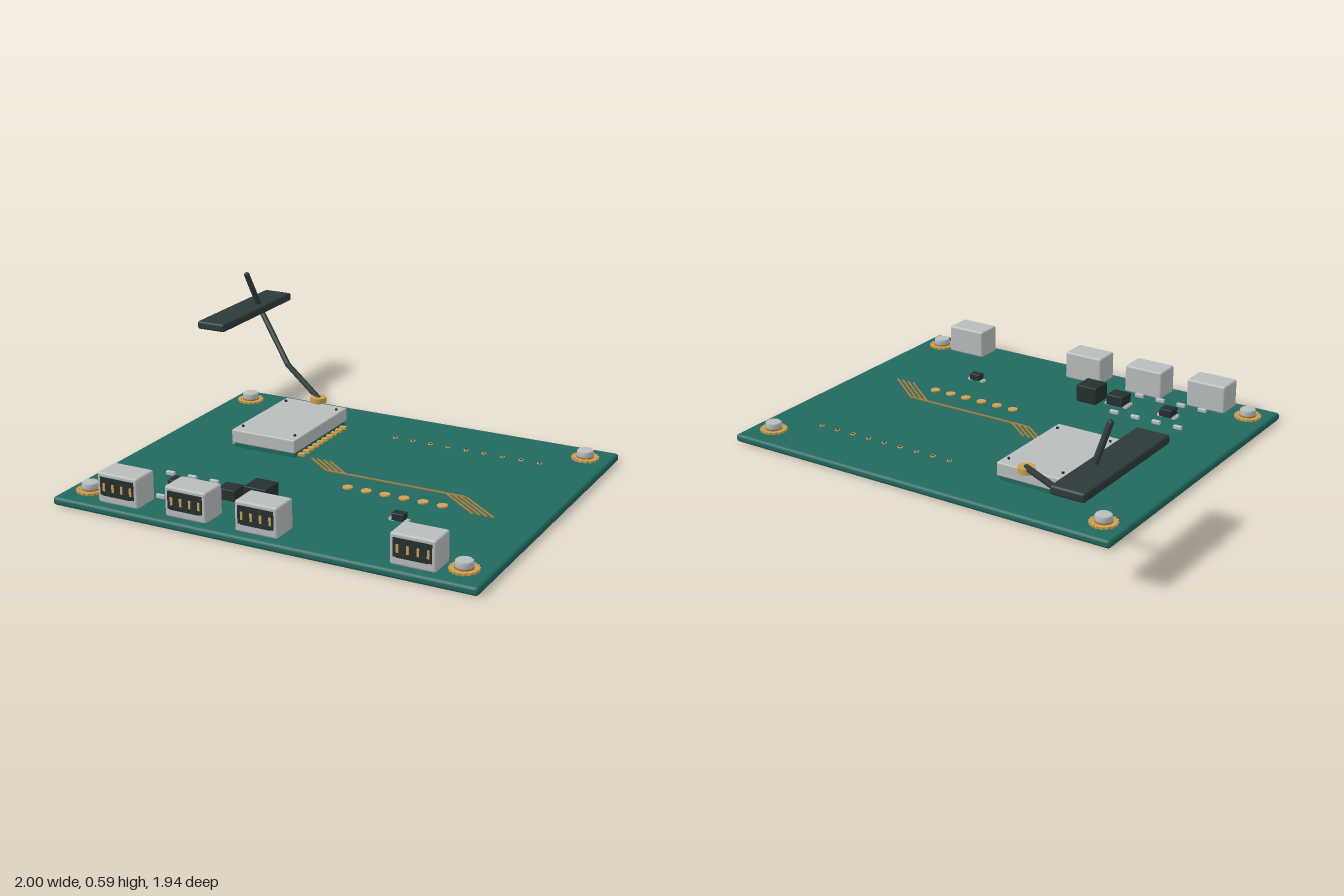
import * as THREE from 'three';
import { RoundedBoxGeometry } from 'three/addons/geometries/RoundedBoxGeometry.js';

export function createModel() {
  const root = new THREE.Group();
  root.name = 'circuitBoard';
  const mat = (name, color) => {
    const m = new THREE.MeshStandardMaterial({ color });
    m.name = name;
    return m;
  };
  const teal = mat('boardTeal', 0x20695f);
  const gold = mat('gold', 0xcda052);
  const copper = mat('traceCopper', 0xa87b3c);
  const silver = mat('silver', 0xb8bdbe);
  const black = mat('chipBlack', 0x263030);
  const rubber = mat('antennaDark', 0x2d3a3a);

  const TOP = 0.036; // upper face of the board

  const add = (name, geo, material, x, y, z, parent = root) => {
    const m = new THREE.Mesh(geo, material);
    m.name = name;
    m.position.set(x, y, z);
    parent.add(m);
    return m;
  };
  const box = (name, w, h, d, material, x, y, z, parent) =>
    add(name, new THREE.BoxGeometry(w, h, d), material, x, y, z, parent);
  const rbox = (name, w, h, d, r, material, x, y, z, parent) =>
    add(name, new RoundedBoxGeometry(w, h, d, 2, r), material, x, y, z, parent);
  const disc = (name, r, h, material, x, y, z, parent, sides = 24) =>
    add(name, new THREE.CylinderGeometry(r, r, h, sides), material, x, y, z, parent);
  const group = (name, x = 0, y = 0, z = 0) => {
    const g = new THREE.Group();
    g.name = name;
    g.position.set(x, y, z);
    root.add(g);
    return g;
  };

  // Board
  rbox('board', 1.88, TOP, 1.535, 0.014, teal, 0.06, TOP / 2, 0.2);

  // Corner screws on gold pads ringed by small vias
  for (const x of [-0.78, 0.89]) {
    for (const z of [-0.44, 0.84]) {
      const g = group('mountingScrew', x, TOP, z);
      disc('pad', 0.056, 0.01, gold, 0, 0.004, 0, g, 32);
      for (let i = 0; i < 16; i++) {
        const a = (i / 16) * Math.PI * 2;
        disc('via', 0.008, 0.012, gold, 0.053 * Math.cos(a), 0.004, 0.053 * Math.sin(a), g, 8);
      }
      disc('collar', 0.038, 0.008, copper, 0, 0.011, 0, g);
      const head = new THREE.LatheGeometry(
        [[0, 0.012], [0.034, 0.012], [0.036, 0.016], [0.036, 0.036], [0.031, 0.041], [0, 0.041]]
          .map(([r, y]) => new THREE.Vector2(r, y)), 24);
      add('head', head, silver, 0, 0, 0, g);
    }
  }

  // Front connectors: shell, dark opening, gold contacts
  for (const x of [-0.585, -0.265, 0.055, 0.72]) {
    const g = group('connector', x, TOP, 0.865);
    rbox('shell', 0.19, 0.13, 0.125, 0.01, silver, 0, 0.066, 0, g);
    box('opening', 0.158, 0.076, 0.008, black, 0, 0.076, 0.0625, g);
    box('tongue', 0.13, 0.02, 0.012, black, 0, 0.047, 0.064, g);
    for (let i = 0; i < 4; i++)
      box('contact', 0.01, 0.034, 0.006, gold, -0.06 + i * 0.042, 0.073, 0.067, g);
  }

  // Radio module: carrier, shield can, edge pins, corner dots
  const radio = group('radioModule', -0.3725, 0, -0.1);
  box('carrier', 0.3, 0.026, 0.46, teal, 0, TOP + 0.012, 0, radio);
  rbox('shield', 0.315, 0.062, 0.485, 0.007, silver, 0, 0.089, 0, radio);
  for (const s of [-1, 1]) {
    for (let i = 0; i < 10; i++)
      box('edgePin', 0.036, 0.012, 0.02, gold, s * 0.161, TOP + 0.006, -0.19 + i * 0.0425, radio);
    for (const z of [-0.19, 0.19]) disc('dot', 0.006, 0.008, black, s * 0.13, 0.123, z, radio, 10);
  }

  // Antenna: socket, bent cable, paddle
  const antenna = group('antenna');
  disc('socket', 0.037, 0.026, gold, -0.37, 0.131, -0.355, antenna);
  const points = [[-0.37, 0.138, -0.355], [-0.65, 0.195, -0.57], [-0.89, 0.39, -0.735], [-0.93, 0.575, -0.675]]
    .map(p => new THREE.Vector3(...p));
  for (let i = 0; i < 3; i++) {
    const tube = new THREE.TubeGeometry(new THREE.LineCurve3(points[i], points[i + 1]), 1, 0.0135, 10);
    add('cable', tube, rubber, 0, 0, 0, antenna);
  }
  for (const p of points) add('cableJoint', new THREE.SphereGeometry(0.0135, 10, 8), rubber, p.x, p.y, p.z, antenna);
  rbox('paddle', 0.145, 0.038, 0.635, 0.01, rubber, -0.9275, 0.405, -0.6525, antenna);

  // Row of small plated holes and row of round test pads
  for (let i = 0; i < 9; i++) {
    const x = 0.055 + i * 0.0856;
    disc('platedHole', 0.011, 0.005, gold, x, TOP + 0.002, -0.29, root, 14);
    disc('holeCentre', 0.006, 0.006, black, x, TOP + 0.0025, -0.29, root, 10);
  }
  for (let i = 0; i < 6; i++) disc('testPad', 0.022, 0.006, gold, 0.14 + i * 0.0856, TOP + 0.003, 0.33);

  // Copper traces
  const trace = (x0, z0, x1, z1, w = 0.008) => {
    const t = box('trace', Math.hypot(x1 - x0, z1 - z0), 0.004, w, copper, (x0 + x1) / 2, TOP + 0.002, (z0 + z1) / 2);
    t.rotation.y = -Math.atan2(z1 - z0, x1 - x0);
  };
  for (let i = 0; i < 4; i++) {
    const o = i * 0.03;
    trace(-0.155 + o, 0.1, -0.03 + o, 0.2);
    trace(0.53 + o, 0.205, 0.71 + o, 0.35);
  }
  trace(-0.03, 0.2, 0.615, 0.2, 0.01);

  // Chips: x, z, width, depth, top height, legs per side
  const chips = [
    [-0.48, 0.65, 0.062, 0.06, 0.078, 3],
    [-0.225, 0.65, 0.085, 0.08, 0.09, 4],
    [-0.095, 0.63, 0.104, 0.104, 0.117, 0],
    [0.48, 0.543, 0.054, 0.04, 0.073, 2],
  ];
  for (const [x, z, w, d, top, legs] of chips) {
    const g = group('chip', x, 0, z);
    rbox('body', w, top - TOP - 0.006, d, 0.004, black, 0, (top + TOP + 0.006) / 2, 0, g);
    if (!legs) box('foot', w * 0.9, 0.012, d * 0.9, black, 0, TOP + 0.005, 0, g);
    for (let i = 0; i < legs; i++)
      for (const s of [-1, 1])
        box('leg', 0.024, 0.012, 0.008, silver, s * (w / 2 + 0.003), TOP + 0.005, (i - (legs - 1) / 2) * d * 0.8 / legs, g);
  }

  // Two rows of small surface parts
  for (const z of [0.543, 0.778])
    for (let i = 0; i < 4; i++)
      rbox('capacitor', 0.042, 0.018, 0.017, 0.004, silver, -0.585 + i * 0.107, TOP + 0.009, z);

  return root;
}
